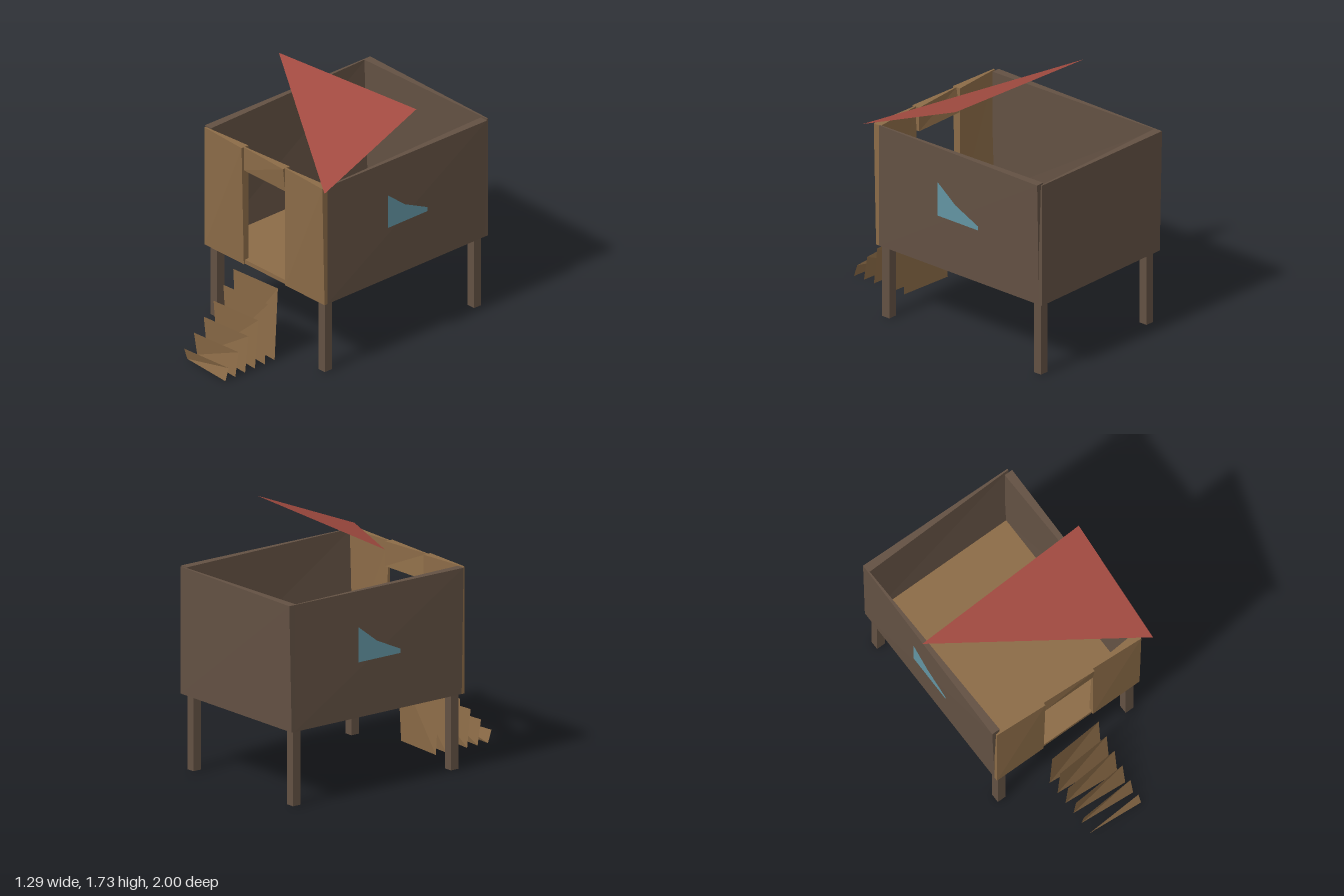
import * as THREE from 'three';

const mat = (color, extra = {}) => new THREE.MeshStandardMaterial({ color, flatShading: true, ...extra });

export function createModel() {
  const model = new THREE.Group();
  const tan = mat(0x8b6b47), dark = mat(0x635143);
  const thinTan = mat(0x8b6b47, { side: THREE.DoubleSide });
  const red = mat(0xa04a40, { side: THREE.DoubleSide });
  const blue = mat(0x6394a2, { side: THREE.DoubleSide });
  const CZ = -0.255, BASE = 0.52, TOP = 1.385;

  const add = (parent, name, geo, material) => {
    const mesh = new THREE.Mesh(geo, material);
    mesh.name = name;
    parent.add(mesh);
    return mesh;
  };
  const block = (name, w, h, d, x, y, z, material) =>
    add(model, name, new THREE.BoxGeometry(w, h, d), material).position.set(x, y, z);

  // Upright slab: outer face at z = w, one top corner leaning outwards
  const slab = (u0, u1, y0, y1, w) => {
    const g = new THREE.BoxGeometry(u1 - u0, y1 - y0, 0.04);
    g.translate((u0 + u1) / 2, (y0 + y1) / 2, w - 0.02);
    const p = g.attributes.position, mid = (u0 + u1) / 2;
    for (let i = 0; i < p.count; i++) {
      if (p.getY(i) < (y0 + y1) / 2) continue;
      const outer = p.getZ(i) > w - 0.02, far = p.getX(i) > mid;
      if (outer && far) p.setZ(i, w + 0.02);
      if (!outer && !far) p.setZ(i, w - 0.01);
    }
    g.computeVertexNormals();
    return g;
  };
  const side = (name, angle) => {
    const g = new THREE.Group();
    g.name = name;
    g.position.z = CZ;
    g.rotation.y = angle;
    model.add(g);
    return g;
  };

  // Floor and legs
  block('floor', 1.15, 0.03, 1.43, 0, BASE + 0.016, CZ, tan);
  for (const x of [-0.52, 0.52])
    for (const z of [0.41, -0.915]) block('leg', 0.063, 0.515, 0.063, x, 0.2625, z, dark);

  // Front wall with door opening
  const front = side('frontWall', 0);
  add(front, 'frontPanelRight', slab(-0.58, -0.2, BASE, TOP, 0.725), tan);
  add(front, 'frontPanelLeft', slab(0.2, 0.58, BASE, TOP, 0.725), tan);
  add(front, 'doorLintel', slab(-0.2, 0.2, 1.215, TOP, 0.725), tan);

  // Back wall
  add(side('backWall', Math.PI), 'backPanel', slab(-0.58, 0.58, BASE, TOP, 0.725), dark);

  // Side walls with windows
  const pane = new THREE.ShapeGeometry(new THREE.Shape(
    [[-0.175, 0.9], [0.175, 0.9], [0.175, 0.93], [-0.02, 1.02], [-0.175, 1.14]]
      .map(([x, y]) => new THREE.Vector2(x, y))));
  for (const [name, angle] of [['leftWall', Math.PI / 2], ['rightWall', -Math.PI / 2]]) {
    const g = side(name, angle);
    add(g, 'sidePanel', slab(-0.7, 0.7, BASE, TOP, 0.58), dark);
    add(g, 'window', pane, blue).position.z = 0.593;
  }

  // Thin sheet from corner points
  const sheet = (points, index) => {
    const g = new THREE.BufferGeometry();
    g.setAttribute('position', new THREE.Float32BufferAttribute(points.flat(), 3));
    g.setIndex(index);
    g.computeVertexNormals();
    return g;
  };

  // Roof piece
  add(model, 'roof', sheet([[-0.65, 1.65, -0.255], [0.645, 1.39, 0.53], [0.645, 1.725, -0.285]], [0, 1, 2]), red);

  // Six slightly twisted step boards
  for (let i = 0; i < 6; i++) {
    const z = 0.535 + 0.0872 * i, f = z + 0.029, h = BASE * (6 - i) / 6;
    add(model, 'step', sheet(
      [[-0.2, 0, z], [0.2, 0, f], [0.2, h, z], [-0.2, h, f]], [0, 1, 2, 0, 2, 3]), thinTan);
  }
  return model;
}
